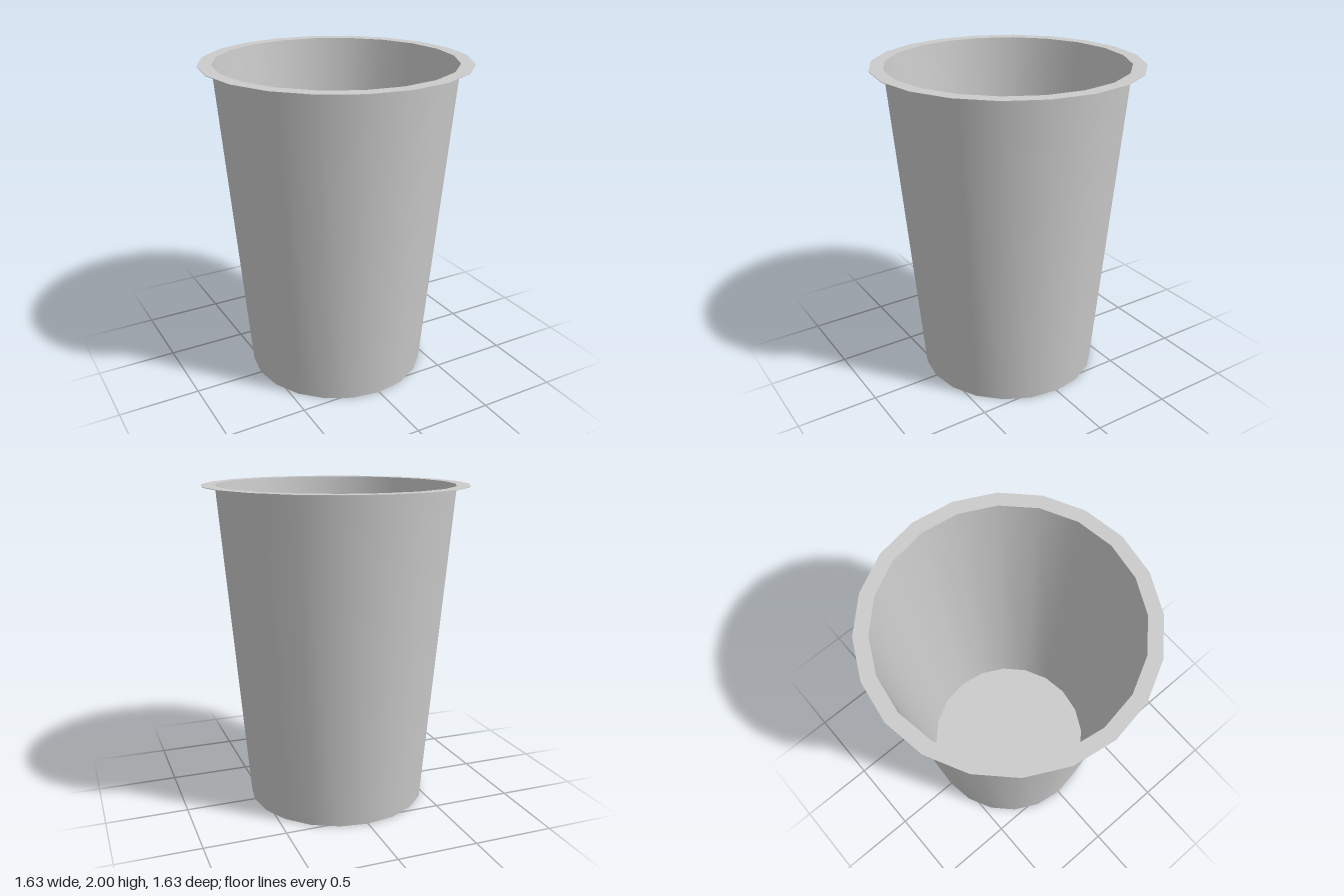
import * as THREE from 'three';

const SIDES = 20;
const material = new THREE.MeshStandardMaterial({ color: 0xcccccc, side: THREE.DoubleSide });

// One straight profile segment [radius, y] spun around y; separate segments keep sharp creases
function ring(name, from, to) {
  const points = [from, to].map(([r, y]) => new THREE.Vector2(r, y));
  const mesh = new THREE.Mesh(new THREE.LatheGeometry(points, SIDES), material);
  mesh.name = name;
  return mesh;
}

export function createModel() {
  const cup = new THREE.Group();
  cup.name = 'cup';

  const base = [0.564, 0], floor = [0.552, 0.008];
  const top = 2, underRim = 1.997;
  const mouth = [0.731, top], neck = [0.732, underRim];

  // Tapered body and base
  cup.add(ring('baseUnderside', [0, 0], base));
  cup.add(ring('outerWall', base, neck));

  // Thin flat rim
  cup.add(ring('rimUnderside', neck, [0.815, underRim]));
  cup.add(ring('rimEdge', [0.815, underRim], [0.815, top]));
  cup.add(ring('rimTop', [0.815, top], mouth));

  // Hollow inside
  cup.add(ring('innerWall', mouth, floor));
  cup.add(ring('floor', floor, [0, floor[1]]));

  return cup;
}
